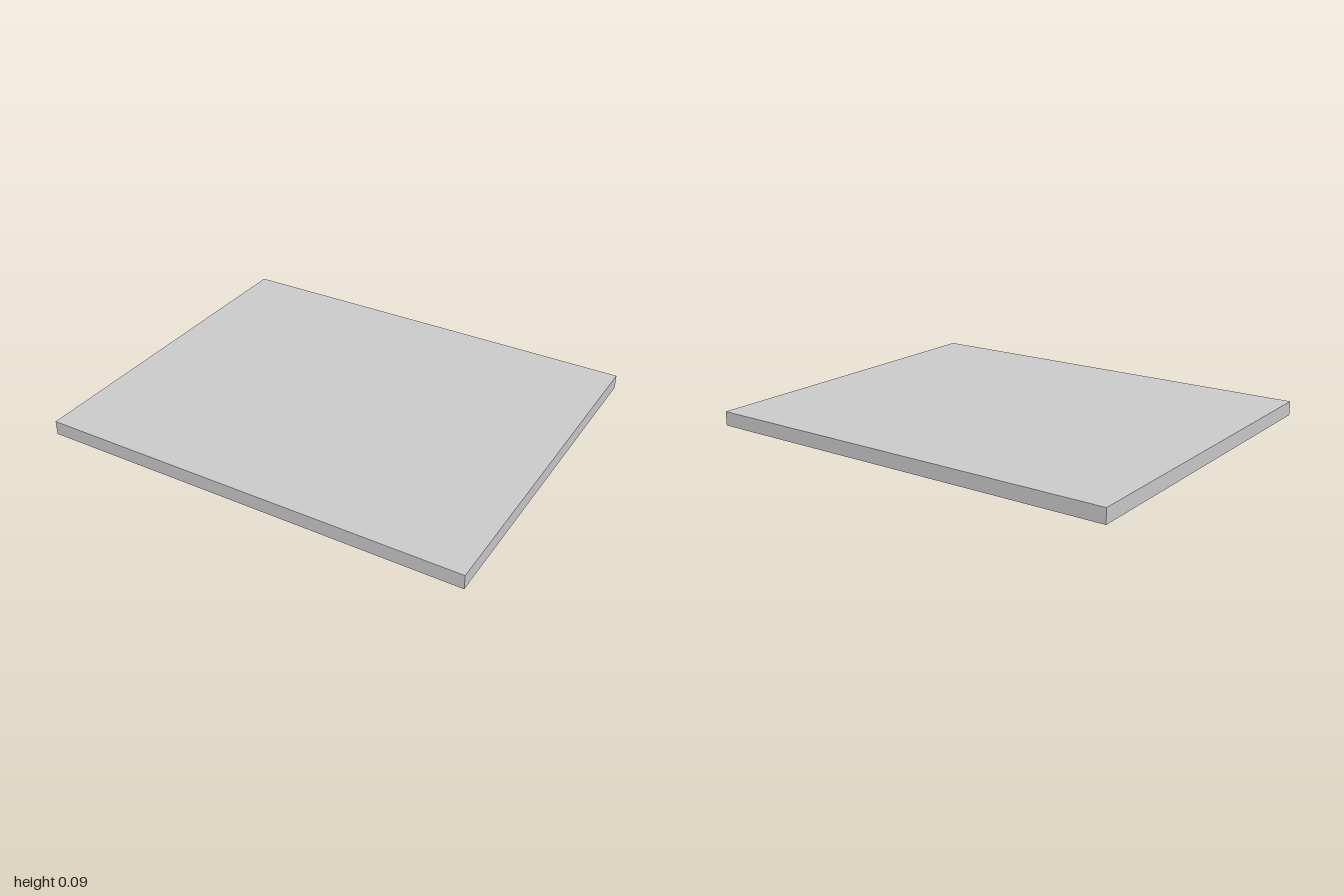
import * as THREE from 'three';

// Closed flat-shaded solid from rectangular loops [x0, x1, z0, z1, y], listed from the top cap to the last cap
function rectLoft(loops) {
  const rings = loops.map(([x0, x1, z0, z1, y]) => [[x0, y, z1], [x1, y, z1], [x1, y, z0], [x0, y, z0]]);
  const pos = [];
  const quad = (a, b, c, d) => pos.push(...a, ...b, ...c, ...a, ...c, ...d);
  quad(...rings[0]);
  for (let r = 0; r < rings.length - 1; r++) {
    for (let i = 0; i < 4; i++) {
      const j = (i + 1) % 4;
      quad(rings[r][i], rings[r + 1][i], rings[r + 1][j], rings[r][j]);
    }
  }
  quad(...rings[rings.length - 1].slice().reverse());
  const geo = new THREE.BufferGeometry();
  geo.setAttribute('position', new THREE.Float32BufferAttribute(pos, 3));
  geo.computeVertexNormals();
  return geo;
}

export function createModel() {
  const group = new THREE.Group();
  const material = new THREE.MeshStandardMaterial({ color: 0xcccccc });
  const add = (name, geo) => {
    const mesh = new THREE.Mesh(geo, material);
    mesh.name = name;
    group.add(mesh);
    return mesh;
  };

  // Flat slab with a shallow, sloped recess in its underside
  const top = 0.088, under = 0.022, depth = 0.03, slope = 0.06;
  const rx0 = -0.83, rx1 = 0.78, rz = 0.4;
  add('slab', rectLoft([
    [-1, 1, -0.82, 0.82, top],
    [-1, 1, -0.82, 0.82, under],
    [rx0, rx1, -rz, rz, under],
    [rx0 + slope, rx1 - slope, -rz + slope, rz - slope, under + depth],
  ]));

  // Two thin rails under the slab, in front of and behind the recess
  for (const [name, z] of [['frontRail', 0.542], ['backRail', -0.537]]) {
    const rail = add(name, new THREE.BoxGeometry(1.655, under, 0.04));
    rail.position.set(-0.025, under / 2, z);
  }
  return group;
}
